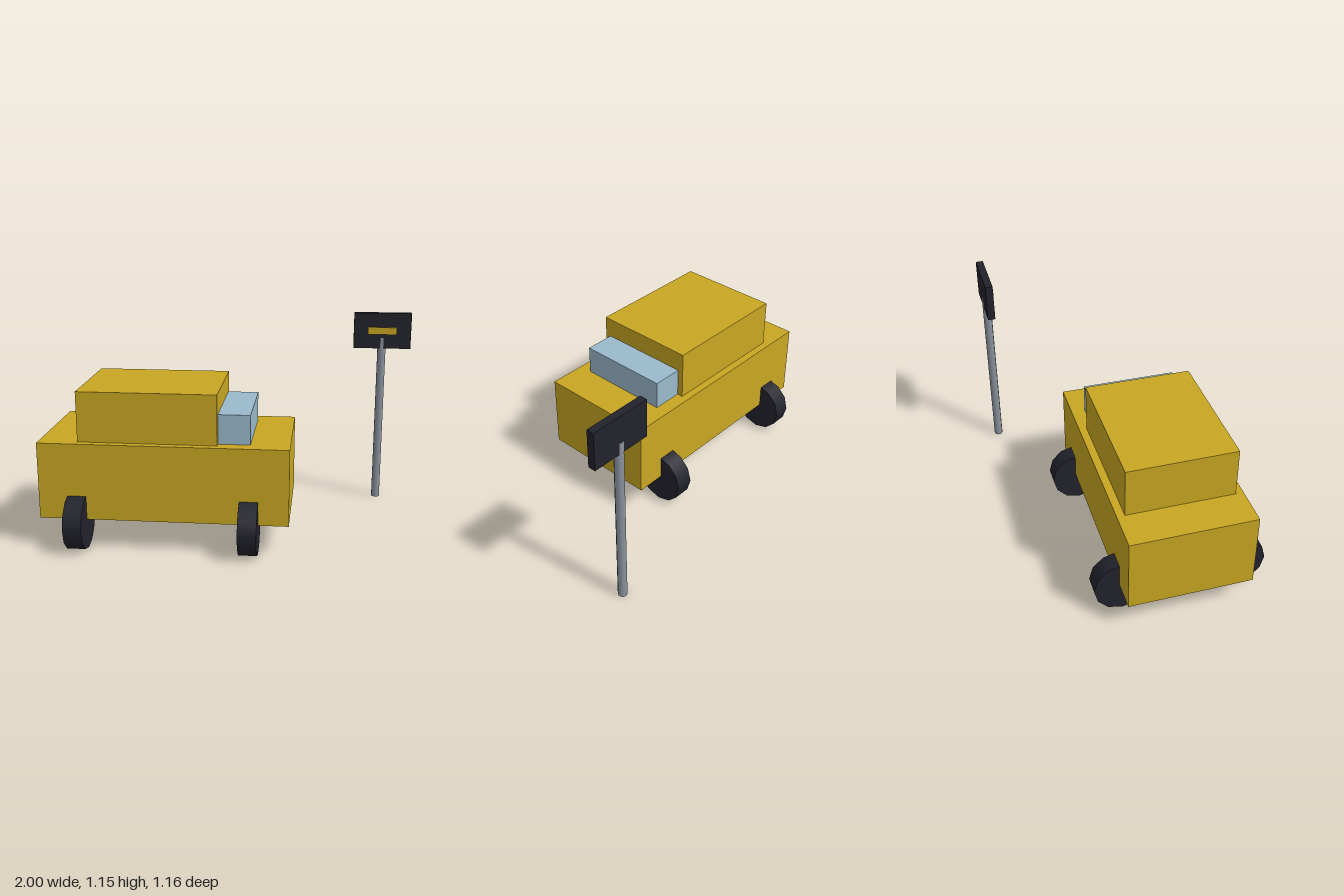
import * as THREE from 'three';

const material = (name, color) => {
  const m = new THREE.MeshStandardMaterial({ color });
  m.name = name;
  return m;
};

export function createModel() {
  const group = new THREE.Group();
  const yellow = material('yellow paint', 0xc9a722);
  const glass = material('pale blue glass', 0x9abacc);
  const dark = material('dark rubber', 0x22222c);
  const grey = material('grey metal', 0x8a929e);

  const add = (name, geometry, mat, x, y, z) => {
    const mesh = new THREE.Mesh(geometry, mat);
    mesh.name = name;
    mesh.position.set(x, y, z);
    group.add(mesh);
  };

  // Box given by its extents along each axis
  const box = (name, mat, [x0, x1], [y0, y1], [z0, z1]) =>
    add(name, new THREE.BoxGeometry(x1 - x0, y1 - y0, z1 - z0), mat,
      (x0 + x1) / 2, (y0 + y1) / 2, (z0 + z1) / 2);

  // Car
  box('body', yellow, [-1, 0.333], [0.167, 0.584], [-0.221, 0.446]);
  box('cabin', yellow, [-0.79, -0.047], [0.584, 0.856], [-0.179, 0.404]);
  box('windscreen', glass, [-0.047, 0.124], [0.584, 0.744], [-0.146, 0.371]);

  // Wheels, with their axles along x
  const wheel = new THREE.CylinderGeometry(0.15, 0.15, 0.1, 12).rotateZ(Math.PI / 2);
  for (const x of [-0.794, 0.122])
    for (const z of [-0.205, 0.43]) add('wheel', wheel, dark, x, 0.15, z);

  // Sign on a post
  add('signPost', new THREE.CylinderGeometry(0.025, 0.025, 1, 10), grey, 0.831, 0.5, -0.555);
  box('signBoard', dark, [0.664, 1], [0.937, 1.147], [-0.575, -0.533]);
  box('signPanel', yellow, [0.747, 0.915], [1.022, 1.064], [-0.534, -0.521]);

  return group;
}
